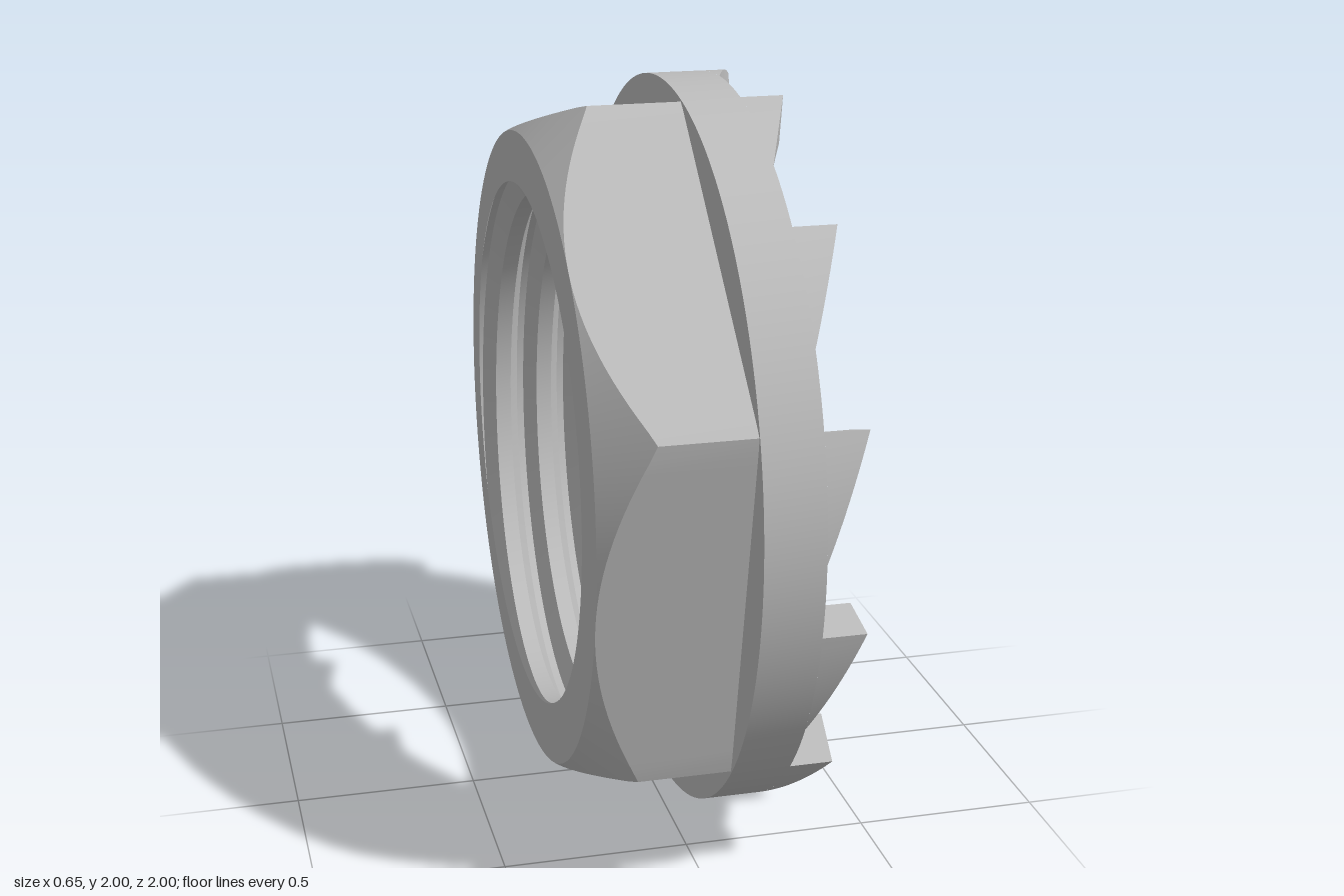
import * as THREE from 'three';
import { toCreasedNormals } from 'three/addons/utils/BufferGeometryUtils.js';

const TAU = Math.PI * 2, DEG = Math.PI / 180;
const START = 11.6 * DEG;               // angle of the first hex corner and first tooth
const BACK = -0.325, SHOULDER = 0.052, FLOOR = 0.175, VALLEY = 0.21, TIP = 0.325;
const APOTHEM = 0.864, CORNER = 0.995, RIM = 0.865;
const PITCH = 0.125;

// thread section over one pitch: [fraction of pitch, radius]
const THREAD = [[0, 0.76], [0.08, 0.76], [0.32, 0.7], [0.68, 0.7], [0.92, 0.76], [1, 0.76]];
const THREAD_SHIFT = FLOOR + PITCH / 4; // puts the groove run-out on the -z side

function boreRadius(x, angle) {
  let p = (x - THREAD_SHIFT) / PITCH - angle / TAU;
  p -= Math.floor(p);
  for (let i = 1; i < THREAD.length; i++) {
    const [p0, r0] = THREAD[i - 1], [p1, r1] = THREAD[i];
    if (p <= p1) return r0 + (r1 - r0) * (p - p0) / (p1 - p0);
  }
  return 0.76;
}

// distance from the axis to the hexagon, with slightly blunted corners
function hexRadius(angle) {
  const a = (((angle - START) % (TAU / 6)) + TAU / 6) % (TAU / 6) - TAU / 12;
  return Math.min(APOTHEM / Math.cos(a), CORNER);
}

// sweep a cross-section of [x, radius] points around the x axis
function sweep(columns, section, crease) {
  const rings = columns.map((c) => section(c).map(([x, r]) =>
    new THREE.Vector3(x, 1 + r * Math.cos(c.angle), r * Math.sin(c.angle))));
  const out = [], e = new THREE.Vector3(), f = new THREE.Vector3();
  const tri = (a, b, c) => {
    if (e.subVectors(b, a).cross(f.subVectors(c, a)).length() < 1e-9) return;
    for (const v of [a, b, c]) out.push(v.x, v.y, v.z);
  };
  for (let i = 0; i + 1 < rings.length; i++) {
    for (let j = 0; j + 1 < rings[i].length; j++) {
      const a = rings[i][j], b = rings[i + 1][j], c = rings[i + 1][j + 1], d = rings[i][j + 1];
      tri(a, b, d);
      tri(b, c, d);
    }
  }
  const g = new THREE.BufferGeometry();
  g.setAttribute('position', new THREE.Float32BufferAttribute(out, 3));
  return toCreasedNormals(g, crease);
}

export function createModel() {
  const group = new THREE.Group();
  group.name = 'lockNut';
  const steel = new THREE.MeshStandardMaterial({ color: 0xbcbcbc });
  steel.name = 'plain steel';
  const add = (name, geometry) => {
    const mesh = new THREE.Mesh(geometry, steel);
    mesh.name = name;
    group.add(mesh);
  };

  const around = [];
  for (let i = 0; i <= 180; i++) around.push({ angle: START + TAU * i / 180 });

  // back face, conical chamfer and six flats
  add('hexBody', sweep(around, ({ angle }) => {
    const h = hexRadius(angle);
    return [[BACK, boreRadius(BACK, angle)], [BACK, APOTHEM], [BACK + h - APOTHEM, h], [SHOULDER, h]];
  }, 0.3));

  // round flange
  add('flange', sweep(around, ({ angle }) =>
    [[SHOULDER, hexRadius(angle)], [SHOULDER, 1], [VALLEY, 1]], 0.5));

  // twelve saw teeth: a steep face, a ramp, then a flat valley
  const toothColumns = [];
  for (let k = 0; k < 12; k++) {
    const a = START + k * TAU / 12;
    toothColumns.push({ angle: a, x: VALLEY });
    for (let s = 0; s <= 10; s++) {
      toothColumns.push({ angle: a + s * 1.85 * DEG, x: TIP + (VALLEY - TIP) * s / 10 });
    }
    for (let s = 1; s < 5; s++) toothColumns.push({ angle: a + (18.5 + s * 2.3) * DEG, x: VALLEY });
  }
  toothColumns.push({ angle: START + TAU, x: VALLEY });
  add('sawTeeth', sweep(toothColumns, ({ x }) =>
    [[VALLEY, 1], [x, 1], [x, RIM], [FLOOR, RIM]], 0.3));

  // recessed face inside the teeth
  add('recessedFace', sweep(around, ({ angle }) =>
    [[FLOOR, RIM], [FLOOR, boreRadius(FLOOR, angle)]], 0.5));

  // helical thread, cut off at both ends of the bore
  add('threadedBore', sweep(around, ({ angle }) => {
    const rows = [];
    for (let k = 2; k >= -8; k--) {
      for (let j = THREAD.length - 1; j > 0; j--) {
        const raw = THREAD_SHIFT + PITCH * (k + THREAD[j][0] + angle / TAU);
        const x = Math.min(FLOOR, Math.max(BACK, raw));
        rows.push([x, x === raw ? THREAD[j][1] : boreRadius(x, angle)]);
      }
    }
    return rows;
  }, 0.4));

  return group;
}
